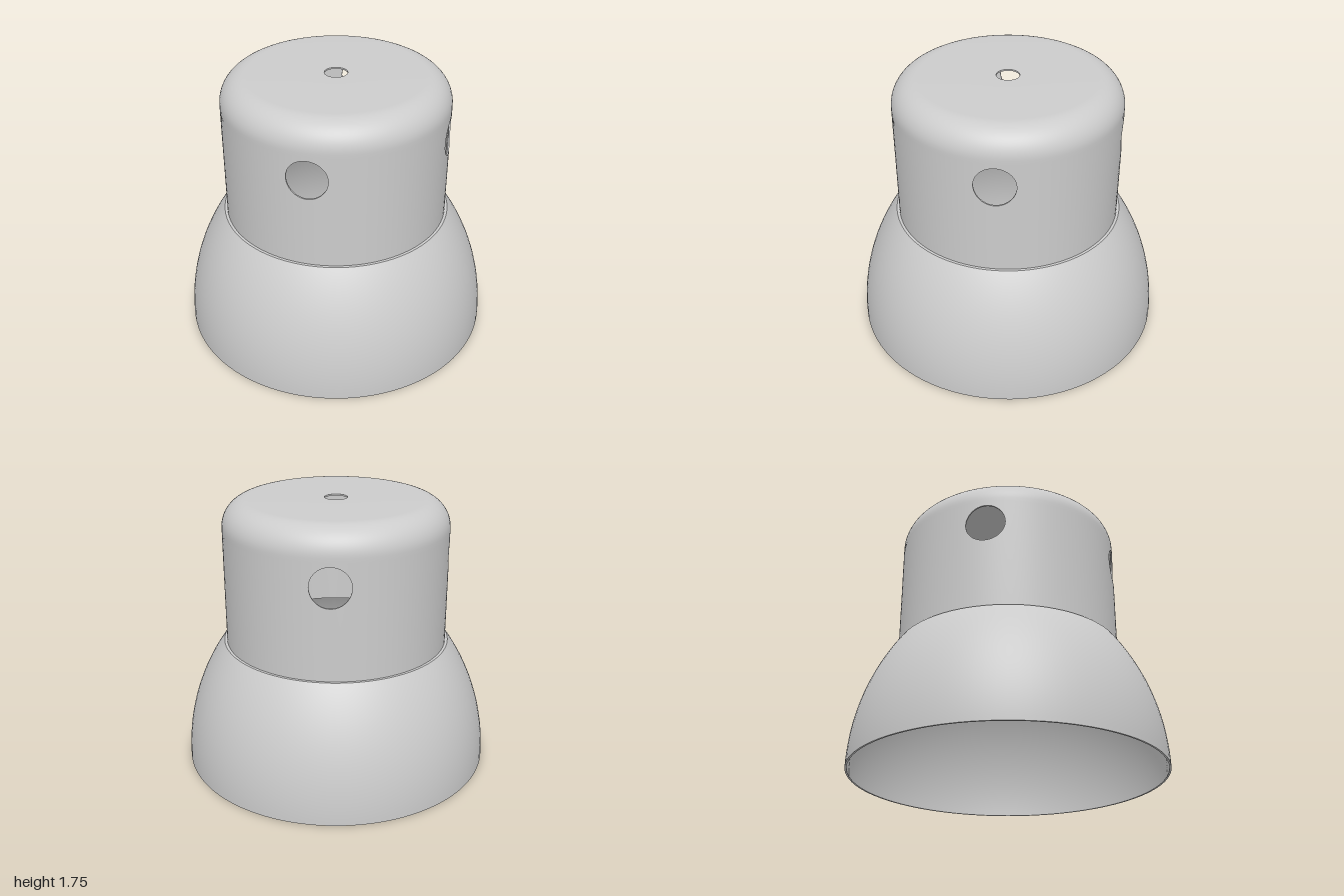
import * as THREE from 'three';
import { toCreasedNormals } from 'three/addons/utils/BufferGeometryUtils.js';

const SEG = 96, OUT = 0.718, IN = 0.708;
const HOLE_Y = 1.4, HOLE_R = 0.125, WALL_TOP = 1.55;

// Arc points in the (radius, height) plane
function arc(cx, cy, r, from, to, n) {
  return Array.from({ length: n + 1 }, (_, i) => {
    const a = from + (to - from) * i / n;
    return new THREE.Vector2(cx + r * Math.cos(a), cy + r * Math.sin(a));
  });
}

const lathe = (points) => toCreasedNormals(new THREE.LatheGeometry(points, SEG), 0.6);
const v2 = (x, y) => new THREE.Vector2(x, y);

// Grid surface from a rule point(i, s), closed around i, with a normal rule
function gridSurface(cols, rows, point, normal) {
  const pos = [], nor = [], idx = [];
  for (let s = 0; s <= rows; s++) {
    for (let i = 0; i <= cols; i++) {
      const p = point(i, s / rows);
      pos.push(p.x, p.y, p.z);
      const n = normal(p, i);
      nor.push(n.x, n.y, n.z);
    }
  }
  const w = cols + 1;
  for (let s = 0; s < rows; s++) {
    for (let i = 0; i < cols; i++) {
      const a = s * w + i;
      idx.push(a, a + w, a + 1, a + 1, a + w, a + w + 1);
    }
  }
  const g = new THREE.BufferGeometry();
  g.setAttribute('position', new THREE.Float32BufferAttribute(pos, 3));
  g.setAttribute('normal', new THREE.Float32BufferAttribute(nor, 3));
  g.setIndex(idx);
  return g;
}

// Walk counter-clockwise round a square of half-size 1, 24 steps a side
function squarePoint(i) {
  const side = Math.floor(i / 24) % 4, t = (i % 24) / 12 - 1;
  return [[1, t], [-t, 1], [-1, -t], [t, -1]][side];
}
const holeAngle = (i) => { const [a, b] = squarePoint(i); return Math.atan2(b, a); };
const onWall = (angle, y, r) => new THREE.Vector3(r * Math.sin(angle), y, r * Math.cos(angle));

// Quarter of the cup wall with a round hole on its middle line
function wallPanel(r, bottom, inside) {
  const point = (i, s) => {
    const k = inside ? SEG - i : i;
    const [a, b] = squarePoint(k), t = holeAngle(k);
    const h = Math.asin(HOLE_R * Math.cos(t) / r), hy = HOLE_Y + HOLE_R * Math.sin(t);
    const ey = HOLE_Y + b * (b > 0 ? WALL_TOP - HOLE_Y : HOLE_Y - bottom);
    return onWall(h + (a * Math.PI / 4 - h) * s, hy + (ey - hy) * s, r);
  };
  const sign = inside ? -1 : 1;
  return gridSurface(SEG, 12, point, (p) => new THREE.Vector3(sign * p.x / r, 0, sign * p.z / r));
}

// Short tunnel joining the outer and inner hole edges
function holeEdge() {
  const point = (i, s) => {
    const t = holeAngle(i), r = IN + (OUT - IN) * s;
    return onWall(Math.asin(HOLE_R * Math.cos(t) / r), HOLE_Y + HOLE_R * Math.sin(t), r);
  };
  return gridSurface(SEG, 1, point, (p, i) =>
    new THREE.Vector3(-Math.cos(holeAngle(i)), -Math.sin(holeAngle(i)), 0));
}

export function createModel() {
  const model = new THREE.Group();
  model.name = 'domedCover';
  const grey = new THREE.MeshStandardMaterial({ color: 0xcccccc });
  grey.name = 'grey';
  const add = (parent, name, geometry) => {
    const mesh = new THREE.Mesh(geometry, grey);
    mesh.name = name;
    parent.add(mesh);
  };

  // Flared skirt: thin shell, with narrow ledges where it meets the cup
  const R = 1.386, T = 0.012;
  add(model, 'skirt', lathe([
    v2(IN, 0.8),
    ...arc(1 - R, 0, R - T, Math.asin(0.8 / (R - T)), 0, 28),
    ...arc(1 - R, 0, R, 0, Math.asin(0.815 / R), 28),
    v2(OUT, 0.815),
  ]));

  // Rounded cap with a small hole through its centre
  const F = 0.17, CY = 1.575, thick = OUT - IN;
  add(model, 'cap', lathe([
    v2(OUT, WALL_TOP),
    ...arc(OUT - F, CY, F, 0, Math.PI / 2, 14),
    v2(0.072, CY + F),
    v2(0.072, CY + F - thick),
    ...arc(OUT - F, CY, F - thick, Math.PI / 2, 0, 14),
    v2(IN, WALL_TOP),
  ]));

  // Four wall quarters, each with a hole on the diagonal
  for (let q = 0; q < 4; q++) {
    const quarter = new THREE.Group();
    quarter.name = 'cupWall' + (q + 1);
    quarter.rotation.y = Math.PI / 4 + q * Math.PI / 2;
    add(quarter, 'outerWall', wallPanel(OUT, 0.815, false));
    add(quarter, 'innerWall', wallPanel(IN, 0.8, true));
    add(quarter, 'holeEdge', holeEdge());
    model.add(quarter);
  }
  return model;
}
